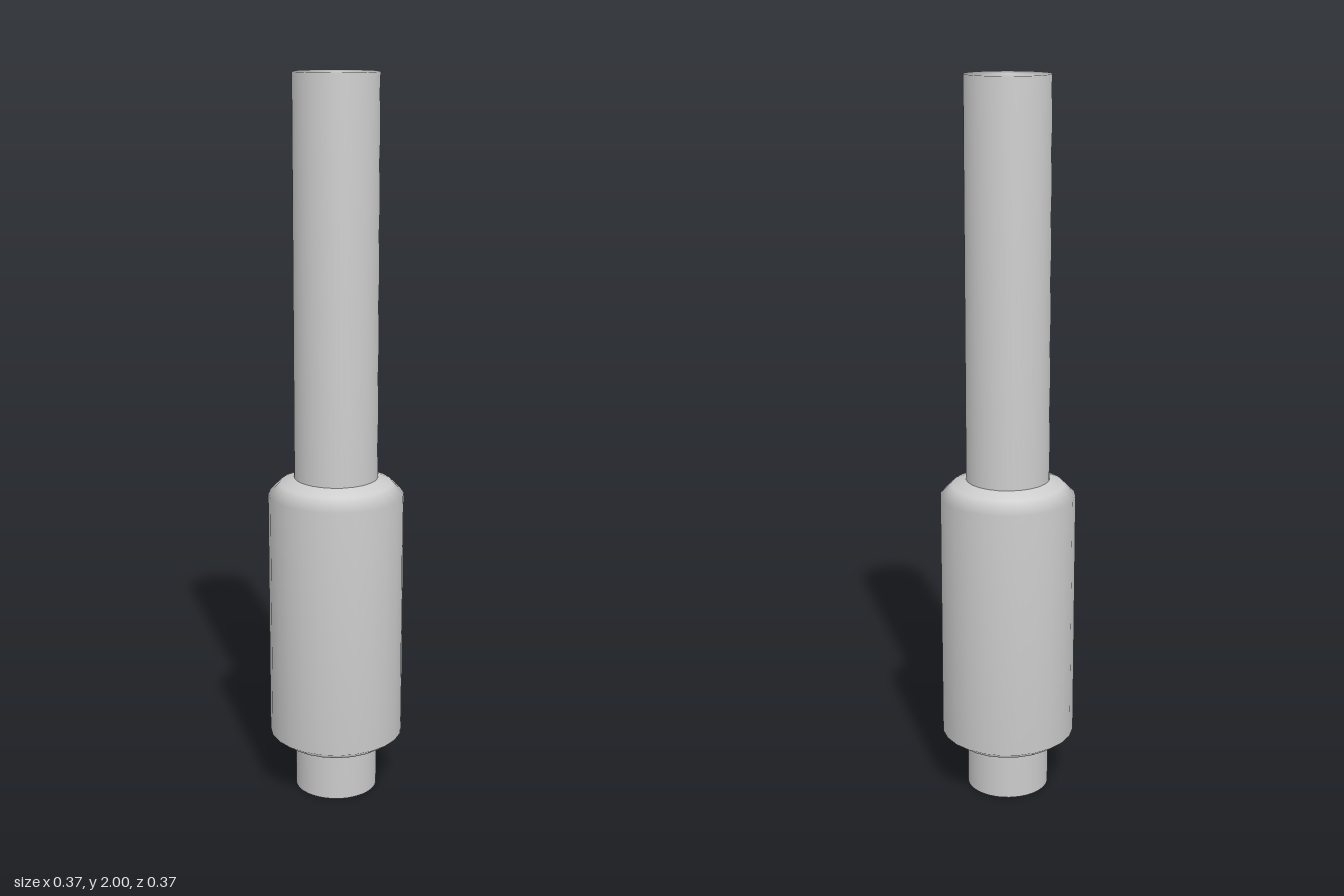
import * as THREE from 'three';

// Revolves a list of [radius, height] pairs, ordered from bottom to top
function turned(name, profile, sides) {
  const points = profile.map(([r, y]) => new THREE.Vector2(r, y));
  const material = new THREE.MeshStandardMaterial({ color: 0xcccccc });
  const mesh = new THREE.Mesh(new THREE.LatheGeometry(points, sides), material);
  mesh.name = name;
  return mesh;
}

export function createModel() {
  const group = new THREE.Group();
  group.name = 'sleevedRod';

  // Long rod: closed flat top, bored out from below
  group.add(turned('rod', [
    [0, 0.9], [0.09, 0.9], [0.09, 0],
    [0.115, 0], [0.115, 2], [0, 2],
  ], 48));

  // Thick sleeve with rounded shoulders around the lower half
  group.add(turned('sleeve', [
    [0.11, 0.13], [0.155, 0.145], [0.187, 0.168],
    [0.187, 0.868], [0.155, 0.9], [0.11, 0.918],
  ], 24));

  return group;
}
